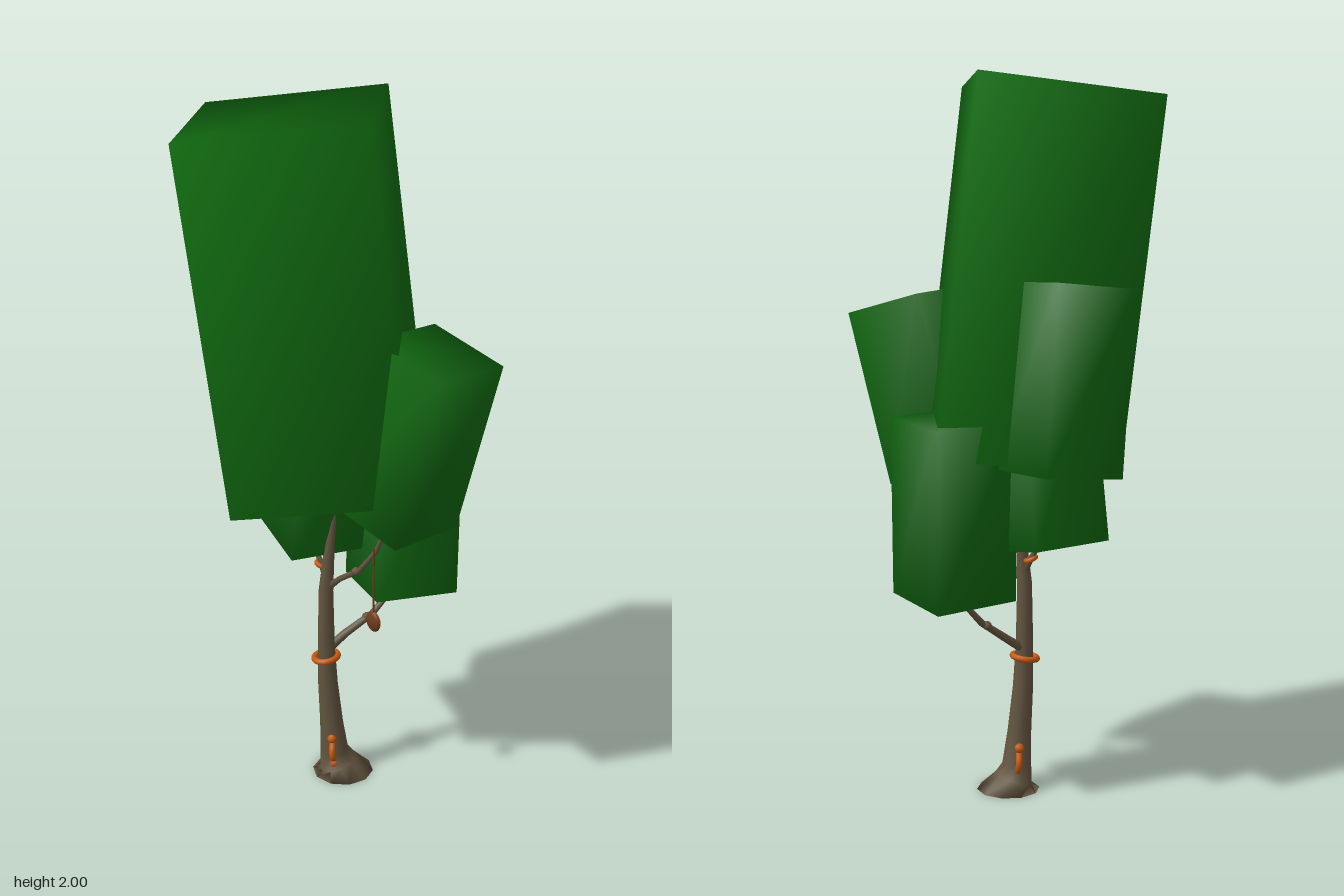
import * as THREE from 'three';
import { mergeVertices } from 'three/addons/utils/BufferGeometryUtils.js';

const mat = (name, color) => {
  const m = new THREE.MeshStandardMaterial({ color });
  m.name = name;
  return m;
};
const V = (a) => new THREE.Vector3(...a);

export function createModel() {
  const leaf = mat('leaf green', 0x106810);
  const bark = mat('bark brown', 0x62543f);
  const orange = mat('ornament orange', 0xc45a10);
  const cord = mat('cord brown', 0x6e3a1a);

  const model = new THREE.Group();
  model.name = 'tree';
  const add = (name, geometry, material, parent = model) => {
    const m = new THREE.Mesh(geometry, material);
    m.name = name;
    parent.add(m);
    return m;
  };

  // Leaning foliage block with softened (shared) normals
  const crown = (name, width, bottom, top, yaw) => {
    const a = V(bottom), b = V(top);
    const axis = b.clone().sub(a);
    let g = new THREE.BoxGeometry(width, axis.length(), width);
    g.deleteAttribute('normal');
    g.deleteAttribute('uv');
    g = mergeVertices(g);
    g.computeVertexNormals();
    const m = add(name, g, leaf);
    m.position.copy(a).add(b).multiplyScalar(0.5);
    m.quaternion.setFromUnitVectors(V([0, 1, 0]), axis.normalize())
      .multiply(new THREE.Quaternion().setFromAxisAngle(V([0, 1, 0]), yaw));
  };
  crown('mainCrown', 0.5, [-0.05, 0.957, 0.02], [-0.17, 1.967, 0.045], 0);
  crown('frontLeftCrown', 0.247, [0.13, 0.905, 0.153], [0.243, 1.39, 0.213], -0.67);
  crown('lowLeftCrown', 0.247, [0.135, 0.587, -0.085], [0.14, 1.085, -0.125], 0.46);
  crown('backRightCrown', 0.25, [-0.13, 0.947, -0.22], [-0.165, 1.447, -0.185], 0.49);
  crown('lowRightCrown', 0.25, [-0.115, 0.73, -0.1], [-0.075, 1.22, -0.045], 0.52);

  // Tapered limb: rings of [x, y, z, radius] joined into a closed skin
  const limb = (name, rings, sides = 8) => {
    const pos = [], idx = [];
    rings.forEach((r, i) => {
      const prev = V(rings[Math.max(i - 1, 0)].slice(0, 3));
      const next = V(rings[Math.min(i + 1, rings.length - 1)].slice(0, 3));
      const q = new THREE.Quaternion().setFromUnitVectors(V([0, 1, 0]), next.sub(prev).normalize());
      if (r[1] === 0) q.identity();
      for (let s = 0; s < sides; s++) {
        const t = (s / sides) * Math.PI * 2;
        const p = V([Math.cos(t) * r[3], 0, Math.sin(t) * r[3]]).applyQuaternion(q);
        pos.push(p.x + r[0], p.y + r[1], p.z + r[2]);
        if (i === 0) continue;
        const a = (i - 1) * sides + s, b = (i - 1) * sides + (s + 1) % sides;
        idx.push(a, a + sides, b, b, a + sides, b + sides);
      }
    });
    const last = (rings.length - 1) * sides;
    for (let s = 1; s < sides - 1; s++) {
      idx.push(0, s, s + 1, last, last + s + 1, last + s);
    }
    const g = new THREE.BufferGeometry();
    g.setAttribute('position', new THREE.Float32BufferAttribute(pos, 3));
    g.setIndex(idx);
    g.computeVertexNormals();
    return add(name, g, bark);
  };
  limb('trunk', [
    [-0.025, 0, 0.005, 0.09], [-0.04, 0.03, 0.007, 0.056], [-0.05, 0.07, 0.01, 0.042],
    [-0.058, 0.17, 0.013, 0.034], [-0.068, 0.3, 0.014, 0.029], [-0.072, 0.42, 0.015, 0.025],
    [-0.072, 0.6, 0.015, 0.021], [-0.06, 0.75, 0.015, 0.014], [-0.04, 0.9, 0.015, 0.005],
  ], 10);
  limb('lowerBranch', [
    [-0.065, 0.41, 0.01, 0.014], [-0.02, 0.445, -0.02, 0.012],
    [0.055, 0.5, -0.045, 0.01], [0.13, 0.59, -0.085, 0.007],
  ], 6);
  limb('upperBranch', [
    [-0.065, 0.61, 0.015, 0.012], [-0.03, 0.65, 0.04, 0.009], [0.03, 0.7, 0.085, 0.008],
    [0.08, 0.78, 0.125, 0.007], [0.125, 0.9, 0.15, 0.004],
  ], 6);
  limb('rightBranch', [
    [-0.07, 0.63, 0.01, 0.011], [-0.09, 0.68, -0.01, 0.008], [-0.13, 0.75, -0.04, 0.005],
  ], 6);

  // Knots along the branches
  for (const p of [[0.04, 0.492, -0.042], [0.02, 0.695, 0.08]]) {
    add('branchKnot', new THREE.SphereGeometry(0.013, 8, 6), bark).position.set(...p);
  }

  // Band round the trunk, and a small one at the right branch
  const band = (name, p, radius, tube, tilt) => {
    const m = add(name, new THREE.TorusGeometry(radius, tube, 8, 20), orange);
    m.position.set(...p);
    m.rotation.set(Math.PI / 2, tilt, 0);
  };
  band('trunkBand', [-0.073, 0.384, 0.014], 0.035, 0.009, 0.14);
  band('branchBand', [-0.087, 0.672, -0.005], 0.015, 0.007, -0.4);

  // Curled ornaments on the front and back of the trunk foot
  for (const side of [1, -1]) {
    const curl = new THREE.Group();
    curl.name = side > 0 ? 'frontCurl' : 'backCurl';
    curl.position.set(-0.05, 0.085, 0.01 + side * 0.03);
    curl.rotation.z = 0.08;
    model.add(curl);
    const arc = add('curlArc', new THREE.TorusGeometry(0.026, 0.009, 8, 12, Math.PI), orange, curl);
    arc.rotation.set(0, Math.PI / 2, side * -Math.PI / 2, 'YXZ');
    arc.rotation.z = side > 0 ? Math.PI / 2 : -Math.PI / 2;
    for (const y of [-0.04, 0.042]) {
      add('curlKnob', new THREE.SphereGeometry(0.014, 8, 6), orange, curl).position.set(0, y, side * 0.006);
    }
  }

  // Hanging disc on a cord, its two faces in different colours
  add('cord', new THREE.CylinderGeometry(0.003, 0.003, 0.2, 6), cord).position.set(0.075, 0.69, 0.13);
  const pendant = new THREE.Group();
  pendant.name = 'pendant';
  pendant.position.set(0.075, 0.567, 0.13);
  pendant.rotation.y = -Math.PI / 4;
  pendant.scale.set(1, 1.1, 0.42);
  model.add(pendant);
  const half = (name, material, turn) => {
    const g = new THREE.SphereGeometry(0.028, 16, 8, 0, Math.PI * 2, 0, Math.PI / 2);
    add(name, g, material, pendant).rotation.x = turn;
  };
  half('pendantFront', cord, Math.PI / 2);
  half('pendantBack', orange, -Math.PI / 2);

  return model;
}
